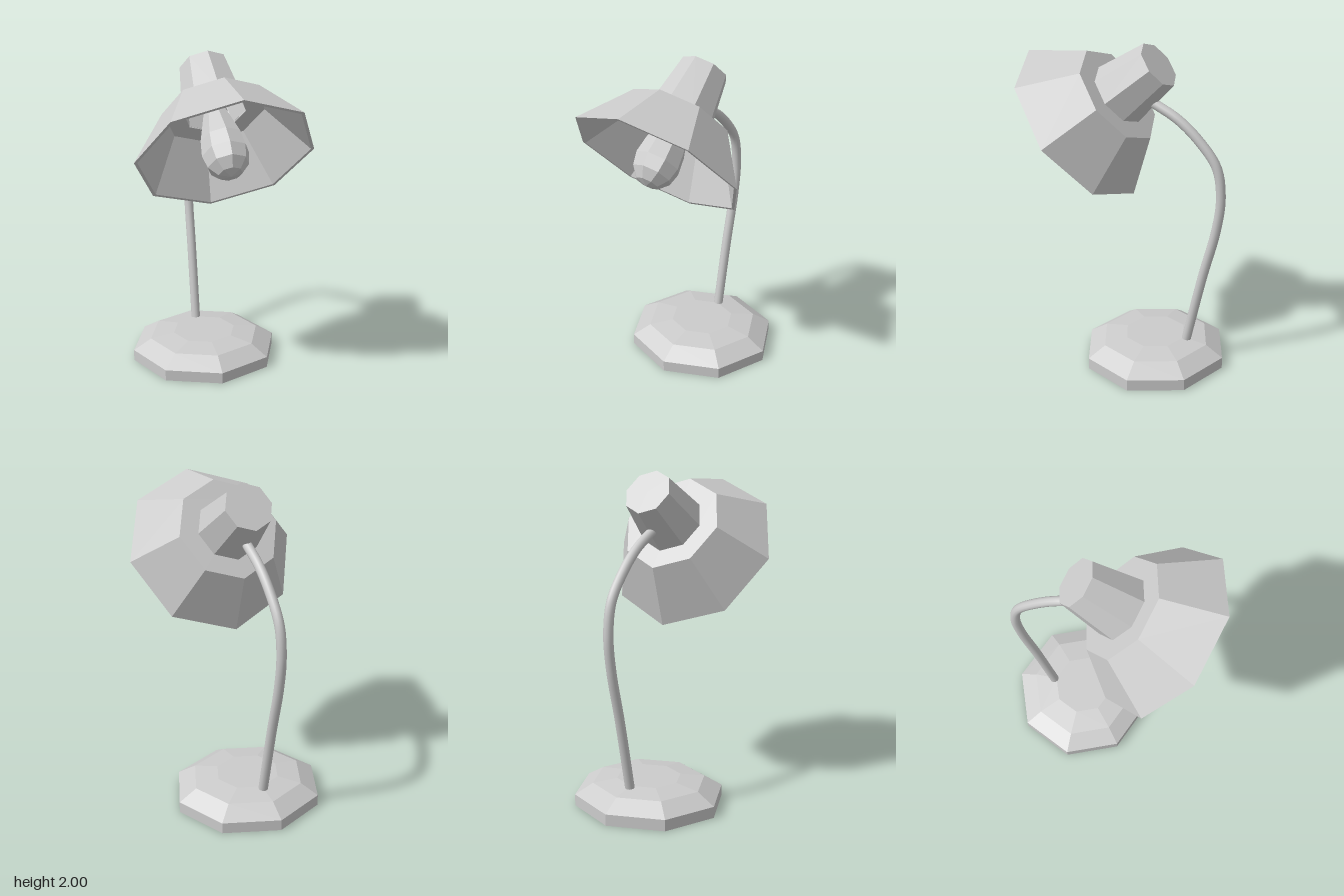
import * as THREE from 'three';

const SIDES = 8;
const flat = new THREE.MeshStandardMaterial({ color: 0xcccccc, flatShading: true, side: THREE.DoubleSide });
const smooth = new THREE.MeshStandardMaterial({ color: 0xcccccc });

// Octagonal solid of revolution from [radius, height] pairs
function turned(name, profile) {
  const points = profile.map(([r, y]) => new THREE.Vector2(r, y));
  const mesh = new THREE.Mesh(new THREE.LatheGeometry(points, SIDES), flat);
  mesh.name = name;
  return mesh;
}

export function createModel() {
  const lamp = new THREE.Group();
  lamp.name = 'deskLamp';

  // Stepped base, slightly wider than deep
  const base = turned('base', [[0, 0], [0.442, 0], [0.442, 0.07], [0.335, 0.138], [0.19, 0.16], [0, 0.16]]);
  base.scale.x = 1.05;
  base.position.set(-0.002, 0, -0.193);
  lamp.add(base);

  // Bent arm from the base to the lamp neck, as [y, z]
  const path = [
    [0.12, -0.39], [0.6, -0.49], [0.92, -0.565], [1.13, -0.587],
    [1.315, -0.555], [1.46, -0.446], [1.575, -0.313], [1.66, -0.15],
  ].map(([y, z]) => new THREE.Vector3(-0.005, y, z));
  const arm = new THREE.Mesh(
    new THREE.TubeGeometry(new THREE.CatmullRomCurve3(path), 48, 0.029, 12), smooth);
  arm.name = 'arm';
  lamp.add(arm);

  // Tilted head: origin at the rim centre, local +y runs to the back
  const head = new THREE.Group();
  head.name = 'head';
  head.position.set(0, 1.48, 0.295);
  head.rotation.x = -Math.atan2(0.768, 0.64);
  lamp.add(head);

  // Flared shade with a thin wall and a hole in its back plate
  head.add(turned('shade', [
    [0.185, 0.298], [0.298, 0.298], [0.508, 0], [0.527, 0],
    [0.313, 0.3125], [0.185, 0.3125], [0.185, 0.298],
  ]));

  // Hollow neck behind the shade
  head.add(turned('neck', [
    [0, 0.622], [0.134, 0.622], [0.184, 0.305], [0.196, 0.305], [0.146, 0.635], [0, 0.635],
  ]));

  // Socket with thread rings
  head.add(turned('socket', [
    [0.066, 0.29], [0.076, 0.31], [0.066, 0.33], [0.076, 0.35],
    [0.066, 0.37], [0.076, 0.39], [0.066, 0.41], [0.066, 0.622],
  ]));

  // Bulb protruding slightly past the rim
  head.add(turned('bulb', [
    [0, -0.14], [0.07, -0.122], [0.12, -0.067], [0.138, 0.01],
    [0.125, 0.11], [0.095, 0.21], [0.068, 0.3],
  ]));

  return lamp;
}
